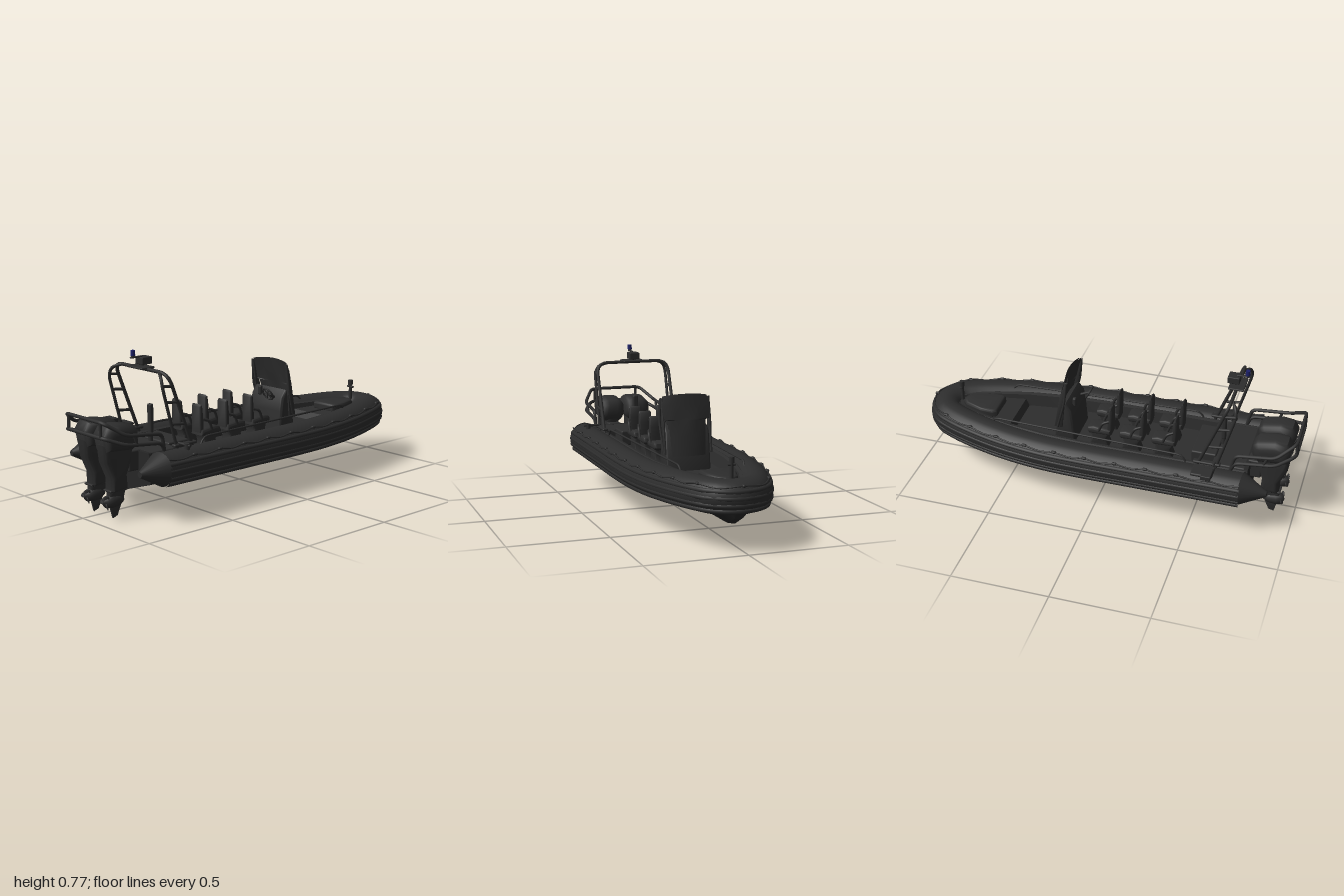
import * as THREE from 'three';
import { RoundedBoxGeometry } from 'three/addons/geometries/RoundedBoxGeometry.js';
import { toCreasedNormals } from 'three/addons/utils/BufferGeometryUtils.js';

const V = (x, y, z) => new THREE.Vector3(x, y, z);
const material = (name, color, side = THREE.FrontSide) => {
  const m = new THREE.MeshStandardMaterial({ color, side });
  m.name = name;
  return m;
};

export function createModel() {
  const model = new THREE.Group();
  const boat = new THREE.Group();
  boat.name = 'inflatableBoat';
  boat.position.z = 0.018;
  model.add(boat);

  const dark = material('charcoal', 0x2d2d2d);
  const sheet = material('charcoalSheet', 0x2d2d2d, THREE.DoubleSide);
  const hullMat = material('hullBlack', 0x262626, THREE.DoubleSide);
  const blue = material('beaconBlue', 0x1c2068);

  const add = (name, geo, x = 0, y = 0, z = 0, mat = dark, parent = boat) => {
    const m = new THREE.Mesh(geo, mat);
    m.name = name;
    m.position.set(x, y, z);
    parent.add(m);
    return m;
  };
  const box = (name, w, h, d, x, y, z, parent = boat, r = 0.008) =>
    add(name, new RoundedBoxGeometry(w, h, d, 2, Math.min(r, w / 2.1, h / 2.1, d / 2.1)), x, y, z, dark, parent);
  const rod = (name, r, h, x, y, z) => add(name, new THREE.CylinderGeometry(r, r, h, 14), x, y, z);
  // Bent pipe with rounded corners
  const pipe = (name, pts, r, bend = 0.03, parent = boat) => {
    const path = new THREE.CurvePath();
    let from = pts[0];
    for (let i = 1; i < pts.length - 1; i++) {
      const p = pts[i];
      const cut = (q) => p.clone().add(q.clone().sub(p).setLength(Math.min(bend, q.distanceTo(p) * 0.45)));
      const a = cut(pts[i - 1]), b = cut(pts[i + 1]);
      path.add(new THREE.LineCurve3(from, a));
      path.add(new THREE.QuadraticBezierCurve3(a, p, b));
      from = b;
    }
    path.add(new THREE.LineCurve3(from, pts[pts.length - 1]));
    return add(name, new THREE.TubeGeometry(path, pts.length * 14, r, 10), 0, 0, 0, dark, parent);
  };
  // Side profile in x and y, given thickness in z with a rounded edge
  const slab = (name, pts, width, bevel, z = 0, parent = boat) => {
    const geo = new THREE.ExtrudeGeometry(new THREE.Shape(pts.map(([x, y]) => new THREE.Vector2(x, y))), {
      depth: width - 2 * bevel, bevelEnabled: true, bevelSize: bevel, bevelThickness: bevel,
      bevelOffset: -bevel, bevelSegments: 5,
    });
    geo.translate(0, 0, bevel - width / 2);
    return add(name, toCreasedNormals(geo, 0.8), 0, 0, z, dark, parent);
  };
  // Skin over equal cross-sections
  const loft = (name, rings, mat) => {
    const n = rings[0].length, idx = [];
    for (let i = 0; i < rings.length - 1; i++) {
      for (let j = 0; j < n - 1; j++) {
        const a = i * n + j, b = a + n;
        idx.push(a, a + 1, b, a + 1, b + 1, b);
      }
    }
    const geo = new THREE.BufferGeometry().setFromPoints(rings.flat());
    geo.setIndex(idx);
    return add(name, toCreasedNormals(geo, 0.4), 0, 0, 0, mat);
  };
  const section = (x, half) => [
    ...half.map(([y, z]) => V(x, y, z)),
    ...half.slice().reverse().map(([y, z]) => V(x, y, -z)),
  ];

  // Inflatable collar: one tube running round the blunt bow
  const side = [[-0.75, 0.257], [-0.5, 0.257], [-0.2, 0.257], [0.1, 0.257], [0.3, 0.247], [0.5, 0.22], [0.68, 0.176], [0.82, 0.124], [0.885, 0.08]];
  const centreY = (x) => 0.245 + 0.01 * THREE.MathUtils.smoothstep(x, 0.3, 0.9);
  const collar = new THREE.CatmullRomCurve3([
    ...side.map(([x, z]) => V(x, centreY(x), z)), V(0.914, 0.255, 0),
    ...side.slice().reverse().map(([x, z]) => V(x, centreY(x), -z)),
  ], false, 'centripetal');
  add('collarTube', new THREE.TubeGeometry(collar, 120, 0.083, 24));
  const along = (t, out, up) => {
    const p = collar.getPointAt(t), d = collar.getTangentAt(t);
    return p.add(V(-d.z * out, up, d.x * out));
  };
  const follow = (name, out, up, r, wave = 0, n = 60) => {
    const pts = [];
    for (let i = 0; i <= n; i++) pts.push(along(i / n, out, up - (i % 2) * wave));
    add(name, new THREE.TubeGeometry(new THREE.CatmullRomCurve3(pts), n * 4, r, 8));
  };
  [[0.067, 0.036], [0.073, 0.005], [0.071, -0.028], [0.06, -0.055]].forEach(([out, up]) => follow('rubbingStrake', out, up, 0.012));
  follow('lifeline', 0.064, 0.062, 0.004, 0.01, 44);
  for (let i = 1; i < 22; i++) {
    const p = along(i / 22, 0.062, 0.062);
    box('lifelinePatch', 0.026, 0.014, 0.016, p.x, p.y, p.z);
  }
  for (const s of [1, -1]) {
    const cone = add('collarEndCone', new THREE.CylinderGeometry(0.014, 0.083, 0.13, 24), -0.815, 0.25, s * 0.263);
    cone.rotation.set(0, s * 0.08, Math.PI / 2);
  }

  // Rigid V hull: x, keel height, chine height, chine half width
  const stations = [[-0.75, 0.1, 0.165, 0.2], [0.2, 0.1, 0.165, 0.2], [0.45, 0.1, 0.168, 0.185], [0.65, 0.1, 0.172, 0.155], [0.79, 0.103, 0.176, 0.115], [0.87, 0.118, 0.182, 0.08], [0.93, 0.15, 0.195, 0.045], [0.965, 0.195, 0.205, 0.012]];
  loft('hull', stations.map(([x, k, c, w]) => section(x, [[0.24, w + 0.02], [c, w], [k + 0.01, 0.02], [k, 0.002]])), hullMat);
  const transom = new THREE.Shape([[-0.22, 0.24], [-0.2, 0.165], [0, 0.1], [0.2, 0.165], [0.22, 0.24], [0.19, 0.315], [-0.19, 0.315]].map(([a, b]) => new THREE.Vector2(a, b)));
  add('transom', new THREE.ExtrudeGeometry(transom, { depth: 0.02, bevelEnabled: false }), -0.765, 0, 0, hullMat).rotation.y = Math.PI / 2;

  // Cockpit liner with side coaming and raised foredeck
  const inner = [...side.slice(0, 8), [0.86, 0.095]];
  loft('cockpitLiner', inner.map(([x, z]) => section(x, [[0.3, z - 0.03], [0.312, z - 0.06], [0.308, z - 0.078], [0.245, z - 0.088]])), sheet);
  loft('foredeck', [[0.5, 0.245, 0.14], [0.52, 0.282, 0.135], [0.68, 0.288, 0.1], [0.86, 0.3, 0.03]].map(([x, y, w]) => section(x, [[y, w], [y, 0.01]])), sheet);
  const locker = slab('bowLocker', [[0.61, -0.07], [0.63, -0.085], [0.7, -0.08], [0.79, -0.05], [0.815, -0.02], [0.815, 0.02], [0.79, 0.05], [0.7, 0.08], [0.63, 0.085], [0.61, 0.07]], 0.05, 0.015);
  locker.rotation.x = Math.PI / 2;
  locker.position.y = 0.3;
  box('sternDeck', 0.17, 0.07, 0.37, -0.665, 0.28, 0);
  box('sternLocker', 0.13, 0.08, 0.25, -0.525, 0.285, 0);
  rod('bowPost', 0.009, 0.1, 0.83, 0.36, 0);
  rod('bowPostCap', 0.013, 0.028, 0.83, 0.408, 0);
  rod('bowPostBar', 0.006, 0.04, 0.83, 0.385, 0).rotation.x = Math.PI / 2;

  // Six seats in two rows
  for (const x of [-0.31, -0.14, 0.03]) for (const s of [1, -1]) {
    const seat = new THREE.Group();
    seat.name = 'seat';
    seat.position.set(x, 0, s * 0.077);
    boat.add(seat);
    slab('seatPedestal', [[-0.05, 0.245], [0.055, 0.245], [0.04, 0.29], [0.05, 0.33], [-0.055, 0.33], [-0.035, 0.29]], 0.066, 0.012, 0, seat);
    slab('seatCushion', [[-0.065, 0.322], [0.05, 0.318], [0.064, 0.33], [0.06, 0.352], [0.03, 0.362], [-0.06, 0.35]], 0.09, 0.016, 0, seat);
    slab('seatBack', [[-0.066, 0.335], [-0.04, 0.335], [-0.044, 0.42], [-0.05, 0.468], [-0.06, 0.477], [-0.068, 0.465]], 0.068, 0.009, 0, seat);
    for (const k of [1, -1]) pipe('seatArm', [V(-0.052, 0.405, k * 0.036), V(-0.02, 0.395, k * 0.047), V(0.0, 0.345, k * 0.045)], 0.007, 0.02, seat);
  }

  // Steering console, wheel and tall wind shield
  slab('console', [[0.16, 0.245], [0.275, 0.245], [0.245, 0.44], [0.21, 0.47], [0.18, 0.43], [0.17, 0.36]], 0.235, 0.014);
  const shieldRows = [[0.255, 0.32, 0.088], [0.24, 0.42, 0.094], [0.224, 0.495, 0.1], [0.222, 0.5, 0.126], [0.206, 0.57, 0.127], [0.194, 0.613, 0.115]];
  for (const t of [0, 0.014]) {
    loft('windShield', shieldRows.map(([x, y, w], r) => {
      const row = [];
      for (let i = -4; i <= 4; i++) {
        const u = i / 4;
        row.push(V(x + t + 0.016 * (1 - u * u), y + (r === 5 ? 0.01 * (1 - u * u) : 0), u * w));
      }
      return row;
    }), sheet);
  }
  for (const s of [1, -1]) {
    slab('shieldSide', [[0.225, 0.33], [0.268, 0.33], [0.238, 0.5], [0.208, 0.605], [0.192, 0.605], [0.208, 0.5]], 0.01, 0.003, s * 0.122);
    pipe('shieldRail', [V(0.25, 0.33, s * 0.125), V(0.21, 0.48, s * 0.135), V(0.198, 0.605, s * 0.128)], 0.006);
  }
  const wheel = new THREE.Group();
  wheel.name = 'steeringWheel';
  wheel.position.set(0.135, 0.45, 0.055);
  wheel.rotation.set(0, Math.PI / 2, 0.5, 'ZYX');
  boat.add(wheel);
  add('wheelRim', new THREE.TorusGeometry(0.034, 0.005, 8, 28), 0, 0, 0, dark, wheel);
  for (let i = 0; i < 3; i++) box('wheelSpoke', 0.066, 0.006, 0.006, 0, 0, 0, wheel).rotation.z = i * Math.PI / 3;
  pipe('steeringColumn', [V(0.135, 0.45, 0.055), V(0.2, 0.42, 0.055)], 0.007);
  box('throttle', 0.02, 0.05, 0.025, 0.18, 0.45, -0.05);

  // Roll bar: front and rear hoops with rungs
  pipe('rollBarFrontHoop', [V(-0.51, 0.31, 0.207), V(-0.655, 0.682, 0.207), V(-0.655, 0.682, -0.207), V(-0.51, 0.31, -0.207)], 0.009, 0.065);
  for (const s of [1, -1]) {
    pipe('rollBarRearLeg', [V(-0.605, 0.31, s * 0.207), V(-0.69, 0.62, s * 0.207), V(-0.685, 0.665, s * 0.19), V(-0.655, 0.682, s * 0.14)], 0.008);
    for (const y of [0.43, 0.54, 0.62]) {
      const u = (y - 0.31) / 0.372;
      pipe('rollBarRung', [V(-0.51 - 0.145 * u, y, s * 0.207), V(-0.605 - 0.102 * u, y + 0.008, s * 0.207)], 0.007);
    }
    box('rollBarFoot', 0.14, 0.015, 0.03, -0.56, 0.332, s * 0.207);
  }
  box('mastPlate', 0.08, 0.01, 0.12, -0.655, 0.688, 0);
  rod('lampStem', 0.008, 0.025, -0.645, 0.7, 0);
  box('searchLamp', 0.06, 0.036, 0.058, -0.635, 0.718, 0, boat, 0.004);
  box('beaconArm', 0.07, 0.008, 0.014, -0.68, 0.738, 0);
  rod('beaconBase', 0.009, 0.012, -0.7, 0.742, 0);
  add('beacon', new THREE.CylinderGeometry(0.011, 0.012, 0.026, 16), -0.7, 0.76, 0, blue);

  // Stern fittings
  box('equipmentPost', 0.022, 0.15, 0.03, -0.6, 0.425, 0);
  rod('equipmentPostFoot', 0.012, 0.06, -0.6, 0.33, 0);
  box('sideBracket', 0.11, 0.016, 0.09, -0.56, 0.342, -0.295);
  box('sideDevice', 0.05, 0.024, 0.075, -0.59, 0.36, -0.339, boat, 0.004);
  for (const s of [1, -1]) {
    rod('bollardBar', 0.006, 0.085, -0.6, 0.343, s * 0.255).rotation.x = Math.PI / 2;
    rod('bollard', 0.012, 0.035, -0.6, 0.335, s * 0.275);
    pipe('coamingRail', [V(-0.45, 0.31, s * 0.2), V(-0.43, 0.345, s * 0.2), V(0.58, 0.345, s * 0.165), V(0.6, 0.31, s * 0.16)], 0.005);
  }

  // Guard rail around the motors
  for (const [y0, y1] of [[0.405, 0.488], [0.36, 0.415]]) {
    const half = [V(-0.68, 0.31, 0.205), V(-0.7, y0, 0.21), V(-0.9, y0 + 0.02, 0.205), V(-0.99, y1, 0.145)];
    pipe('motorGuardRail', [...half, ...half.slice().reverse().map((p) => V(p.x, p.y, -p.z))], 0.009);
  }
  for (const s of [1, -1]) {
    pipe('guardRailPost', [V(-0.99, 0.488, s * 0.125), V(-0.99, 0.412, s * 0.125)], 0.008);
    pipe('guardRailPost', [V(-0.86, 0.42, s * 0.206), V(-0.84, 0.37, s * 0.206)], 0.007);
  }

  // Twin outboard motors
  for (const s of [1, -1]) {
    const motor = new THREE.Group();
    motor.name = 'outboardMotor';
    motor.position.z = s * 0.075;
    boat.add(motor);
    slab('motorCowl', [[-0.95, 0.335], [-0.8, 0.325], [-0.768, 0.36], [-0.768, 0.42], [-0.79, 0.446], [-0.88, 0.462], [-0.94, 0.454], [-0.966, 0.415]], 0.142, 0.048, 0, motor);
    slab('motorMidsection', [[-0.962, 0.37], [-0.785, 0.36], [-0.795, 0.27], [-0.825, 0.21], [-0.82, 0.14], [-0.915, 0.13], [-0.915, 0.2], [-0.95, 0.28]], 0.08, 0.026, 0, motor);
    box('motorBracket', 0.07, 0.1, 0.075, -0.785, 0.27, 0, motor);
    box('antiVentilationPlate', 0.1, 0.01, 0.062, -0.875, 0.14, 0, motor, 0.004);
    slab('gearcaseStrut', [[-0.92, 0.145], [-0.82, 0.15], [-0.84, 0.08], [-0.92, 0.08]], 0.04, 0.014, 0, motor);
    const profile = [[0, -0.06], [0.026, -0.052], [0.034, -0.02], [0.03, 0.02], [0.014, 0.05], [0, 0.058]].map(([a, b]) => new THREE.Vector2(a, b));
    add('gearcase', new THREE.LatheGeometry(profile, 16), -0.885, 0.088, 0, dark, motor).rotation.z = -Math.PI / 2;
    slab('skeg', [[-0.915, 0.075], [-0.84, 0.075], [-0.868, 0.012], [-0.895, 0.002]], 0.01, 0.003, 0, motor);
    for (let i = 0; i < 3; i++) {
      const a = i * Math.PI * 2 / 3 + 0.5;
      const blade = add('propellerBlade', new THREE.SphereGeometry(1, 12, 8), -0.935, 0.088 + 0.022 * Math.cos(a), 0.022 * Math.sin(a), dark, motor);
      blade.scale.set(0.005, 0.019, 0.014);
      blade.rotation.set(a, 0.6, 0);
    }
  }
  return model;
}
